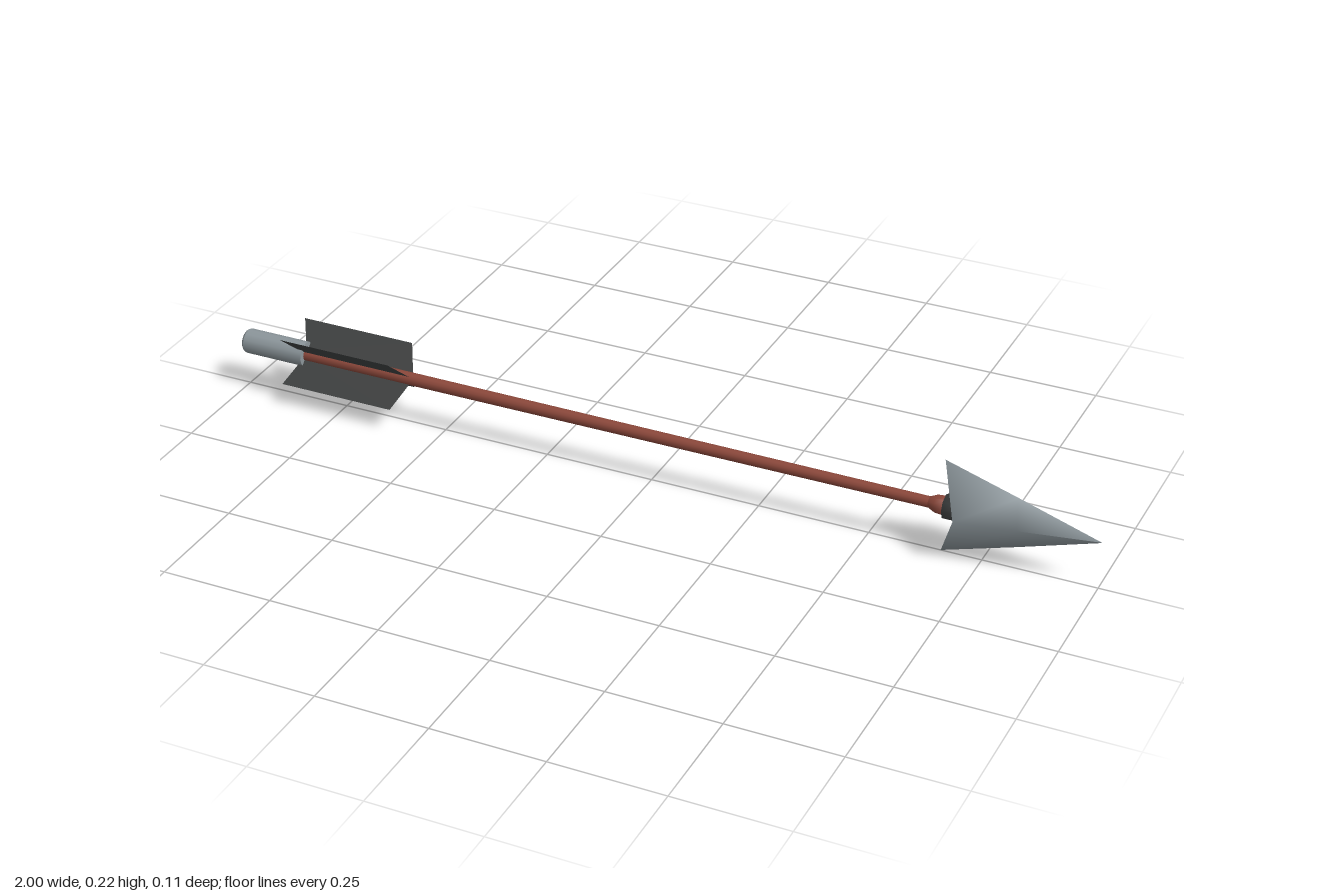
import * as THREE from 'three';

const AXIS_Y = 0.11;

function material(name, color, side = THREE.FrontSide) {
  const m = new THREE.MeshStandardMaterial({ color, side });
  m.name = name;
  return m;
}

// Surface of revolution along +x from [x, radius] pairs
function turned(points, sides) {
  const g = new THREE.LatheGeometry(points.map(([x, r]) => new THREE.Vector2(r, x)), sides);
  return g.rotateZ(-Math.PI / 2);
}

// Four-sided head lofted from diamond sections, closed by a hollowed back
function headGeometry() {
  // section: [x at top and bottom, x at sides, half height, half width]
  const sections = [
    [0.7, 0.7, 0.015, 0.015],
    [0.66, 0.7, 0.109, 0.054],
    [0.82, 0.83, 0.059, 0.031],
    [1, 1, 0.0005, 0.0005],
  ];
  const pos = [];
  const index = [];
  for (const [xv, xs, h, w] of sections) {
    pos.push(xv, h, 0, xs, 0, w, xv, -h, 0, xs, 0, -w);
  }
  for (let s = 0; s < sections.length - 1; s++) {
    for (let i = 0; i < 4; i++) {
      const j = (i + 1) % 4;
      const a = s * 4 + i, b = s * 4 + j, c = a + 4, d = b + 4;
      index.push(a, b, c, b, d, c);
    }
  }
  const g = new THREE.BufferGeometry();
  g.setAttribute('position', new THREE.Float32BufferAttribute(pos, 3));
  g.setIndex(index);
  g.computeVertexNormals();
  return g;
}

export function createModel() {
  const steel = material('steel', 0x8c969b, THREE.DoubleSide);
  const wood = material('redWood', 0x8c483b);
  const feather = material('darkFeather', 0x404242, THREE.DoubleSide);

  const arrow = new THREE.Group();
  arrow.name = 'arrow';
  arrow.position.y = AXIS_Y;
  const add = (name, geometry, mat) => {
    const mesh = new THREE.Mesh(geometry, mat);
    mesh.name = name;
    arrow.add(mesh);
    return mesh;
  };

  // Shaft, tapering slightly forward, with a flared seat below the head
  add('shaft', turned([[-0.86, 0.015], [0.64, 0.012]], 12), wood);
  add('shaftFlare', turned([[0.63, 0.012], [0.645, 0.019], [0.67, 0.021], [0.67, 0]], 12), wood);

  // Head and its dark socket
  add('socket', turned([[0.665, 0], [0.665, 0.027], [0.705, 0.027]], 8), feather);
  add('head', headGeometry(), steel);

  // Tail cap with a softened end
  add('nockBody', turned([[-0.995, 0.028], [-0.847, 0.028]], 12), steel);
  add('nockEnd', turned([[-1, 0], [-1, 0.024], [-0.995, 0.028]], 12), steel);
  add('nockFront', turned([[-0.847, 0.028], [-0.847, 0]], 12), steel);

  // Four swept-back fins set diagonally around the shaft
  const fin = new THREE.Shape([
    new THREE.Vector2(-0.85, 0.008),
    new THREE.Vector2(-0.58, 0.008),
    new THREE.Vector2(-0.608, 0.079),
    new THREE.Vector2(-0.88, 0.079),
  ]);
  const finGeometry = new THREE.ShapeGeometry(fin);
  for (let i = 0; i < 4; i++) {
    add('fin' + (i + 1), finGeometry, feather).rotation.x = Math.PI / 4 + i * Math.PI / 2;
  }

  const model = new THREE.Group();
  model.name = 'arrowModel';
  model.add(arrow);
  return model;
}
